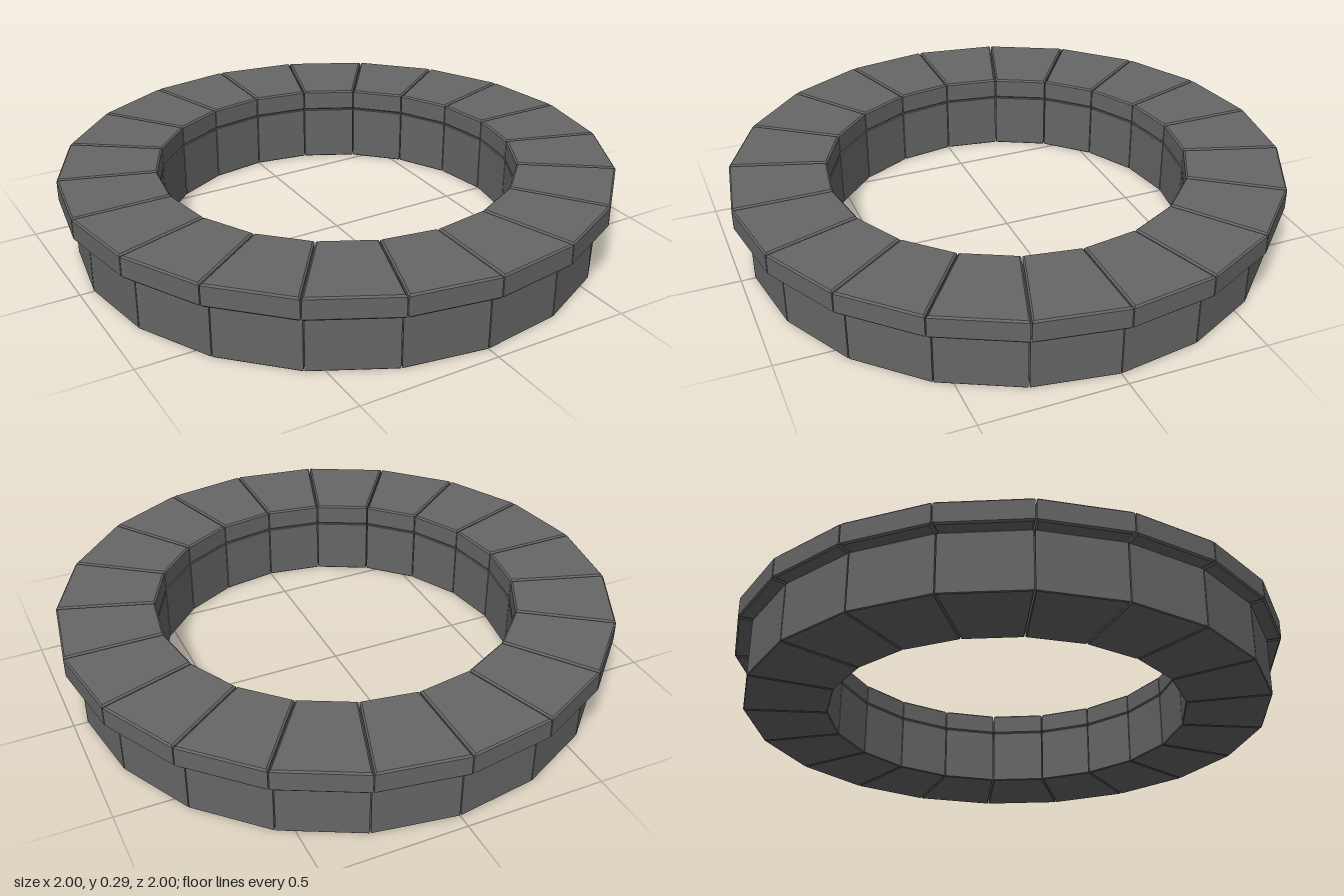
import * as THREE from 'three';

const SEGMENTS = 20;
const STEP = (Math.PI * 2) / SEGMENTS;

// Wedge-shaped stone between two radii, set back from both joints by gap
function stoneGeometry(inner, outer, y0, y1, gap, bevel) {
  const corner = (r, a, side) => new THREE.Vector2(
    r * Math.cos(a) - side * gap * Math.sin(a),
    r * Math.sin(a) + side * gap * Math.cos(a)
  );
  const shape = new THREE.Shape([
    corner(inner, 0, 1), corner(outer, 0, 1),
    corner(outer, STEP, -1), corner(inner, STEP, -1),
  ]);
  const geo = new THREE.ExtrudeGeometry(shape, {
    depth: y1 - y0 - 2 * bevel,
    bevelEnabled: bevel > 0,
    bevelThickness: bevel,
    bevelSize: bevel,
    bevelOffset: -bevel,
    bevelSegments: 1,
  });
  geo.rotateX(-Math.PI / 2);
  geo.translate(0, y0 + bevel, 0);
  return geo;
}

export function createModel() {
  const model = new THREE.Group();
  model.name = 'stoneRing';
  const stone = new THREE.MeshStandardMaterial({ color: 0x666666, flatShading: true });

  // Lower wall course and wider bevelled coping course
  const courses = [
    ['wallStone', stoneGeometry(0.65, 0.95, 0, 0.21, 0.002, 0.003)],
    ['copingStone', stoneGeometry(0.65, 1, 0.21, 0.29, 0.002, 0.006)],
  ];

  for (const [name, geometry] of courses) {
    const course = new THREE.Group();
    course.name = name + 'Course';
    for (let i = 0; i < SEGMENTS; i++) {
      const mesh = new THREE.Mesh(geometry, stone);
      mesh.name = name;
      mesh.rotation.y = i * STEP;
      course.add(mesh);
    }
    model.add(course);
  }
  return model;
}
